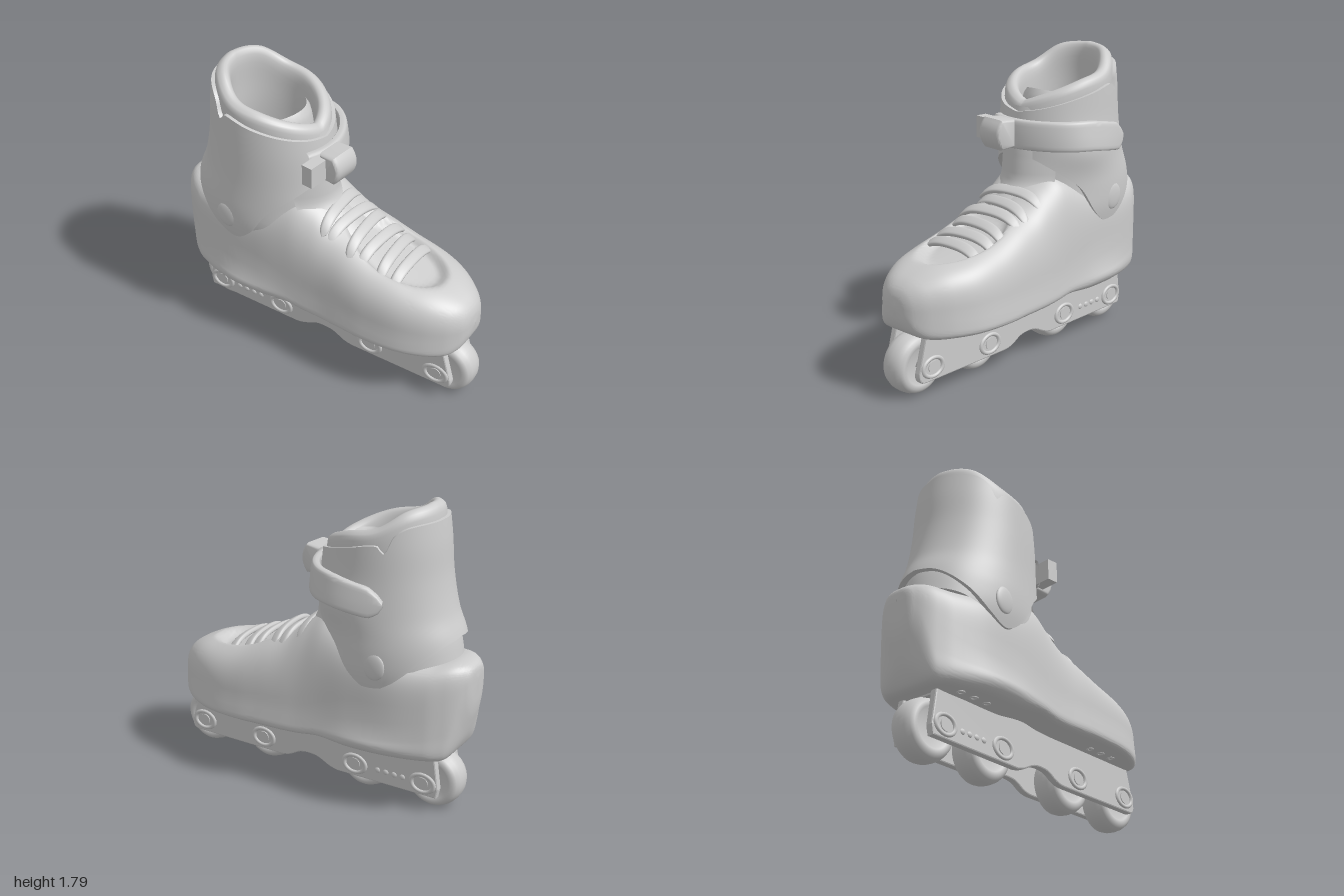
import * as THREE from 'three';
import { toCreasedNormals } from 'three/addons/utils/BufferGeometryUtils.js';

const grey = new THREE.MeshStandardMaterial({ color: 0xcccccc, side: THREE.DoubleSide });
const ZC = 0.03; // centre line of frame and wheels
const ZA = 0.037; // centre line of ankle
const { smoothstep, clamp, lerp } = THREE.MathUtils;

// Smooth lookup in rows [t, a, b, ...]; returns the interpolated columns
function key(rows, t) {
  const n = rows.length - 1;
  let i = 0;
  while (i < n - 1 && t > rows[i + 1][0]) i++;
  const h = rows[i + 1][0] - rows[i][0];
  const s = clamp((t - rows[i][0]) / h, 0, 1);
  const slope = (k, c) => {
    const a = rows[Math.max(k - 1, 0)], b = rows[Math.min(k + 1, n)];
    return (b[c] - a[c]) / (b[0] - a[0]);
  };
  return rows[i].slice(1).map((v, j) => {
    const c = j + 1, s2 = s * s, s3 = s2 * s;
    return (2 * s3 - 3 * s2 + 1) * v + (s3 - 2 * s2 + s) * h * slope(i, c)
      + (3 * s2 - 2 * s3) * rows[i + 1][c] + (s3 - s2) * h * slope(i + 1, c);
  });
}

// Surface from fn(u, v) -> [x, y, z]; u may wrap round into a closed loop
function surface(nu, nv, fn, closed = true) {
  const pos = [], idx = [], cols = closed ? nu : nu + 1;
  for (let j = 0; j <= nv; j++)
    for (let i = 0; i < cols; i++) pos.push(...fn(i / nu, j / nv));
  for (let j = 0; j < nv; j++)
    for (let i = 0; i < nu; i++) {
      const a = j * cols + i, b = j * cols + (i + 1) % cols, c = a + cols, d = b + cols;
      idx.push(a, c, b, b, c, d);
    }
  const g = new THREE.BufferGeometry();
  g.setAttribute('position', new THREE.Float32BufferAttribute(pos, 3));
  g.setIndex(idx);
  g.computeVertexNormals();
  return g;
}

// Shell sections: x, bottom, top, widest height, half width, centre z, roundness
const SHELL = [
  [-1.0, 0.84, 0.86, 0.85, 0.001, 0.03, 0.8], [-0.994, 0.70, 0.91, 0.84, 0.075, 0.03, 0.75],
  [-0.975, 0.59, 0.935, 0.80, 0.12, 0.03, 0.65], [-0.94, 0.47, 0.95, 0.74, 0.165, 0.03, 0.55],
  [-0.89, 0.385, 0.955, 0.70, 0.205, 0.03, 0.5], [-0.8, 0.37, 0.945, 0.64, 0.255, 0.03, 0.45],
  [-0.6, 0.37, 0.96, 0.60, 0.31, 0.03, 0.4], [-0.35, 0.37, 1.03, 0.57, 0.32, 0.025, 0.45],
  [-0.15, 0.39, 1.12, 0.52, 0.315, 0.02, 0.6], [-0.02, 0.375, 1.06, 0.5, 0.315, 0.015, 0.68],
  [0.1, 0.37, 0.97, 0.5, 0.32, 0.01, 0.68], [0.25, 0.37, 0.905, 0.5, 0.33, 0.01, 0.66],
  [0.4, 0.37, 0.845, 0.48, 0.335, 0.01, 0.64], [0.6, 0.37, 0.79, 0.48, 0.32, 0.01, 0.62],
  [0.75, 0.37, 0.755, 0.49, 0.27, 0.015, 0.64], [0.86, 0.375, 0.71, 0.51, 0.2, 0.02, 0.7],
  [0.92, 0.41, 0.665, 0.53, 0.135, 0.02, 0.78], [0.947, 0.47, 0.615, 0.545, 0.075, 0.02, 0.9],
  [0.956, 0.54, 0.55, 0.545, 0.001, 0.02, 1],
];
const spow = (v, e) => Math.sign(v) * Math.abs(v) ** e;

function shellPoint(u, v) {
  const f = v * (SHELL.length - 1), i = Math.min(Math.floor(f), SHELL.length - 2);
  const x = lerp(SHELL[i][0], SHELL[i + 1][0], f - i);
  const [bot, top, mid, hw, zc, round] = key(SHELL, x);
  const a = u * Math.PI * 2, c = Math.cos(a), s = Math.sin(a);
  // square sole edge, softening towards toe and heel tips
  const e = s > 0 ? round : lerp(0.28, 0.9, smoothstep(bot, 0.38, 0.55));
  let y = mid + spow(s, e) * (s > 0 ? top - mid : mid - bot);
  // widened sole, with a raised ridge at the arch
  const ridge = 0.06 * Math.exp(-(((x + 0.45) / 0.22) ** 2) - ((y - 0.45) / 0.05) ** 2);
  const z = zc + hw * (1 + 0.04 * smoothstep(0.55 - y, 0, 0.15) + ridge) * spow(c, e);
  // sunken lacing throat along the instep
  const d = ((x - 0.42) / 0.3) ** 2 + ((z - 0.01) / 0.18) ** 2;
  if (s > 0) y -= 0.06 * smoothstep(1.3 - d, 0, 0.6);
  return [x, y, z];
}

// Ankle rings: y, back x, front x, half width
const ANKLE = [
  [0.75, -0.93, 0.05, 0.312], [0.88, -0.92, 0.03, 0.338], [1.0, -0.9, 0.0, 0.342],
  [1.08, -0.88, -0.005, 0.338], [1.2, -0.83, -0.02, 0.332], [1.4, -0.787, -0.035, 0.328],
  [1.6, -0.768, -0.06, 0.322], [1.8, -0.74, -0.08, 0.31],
];
function ankle(a, y, off = 0) {
  const [bx, fx, rz] = key(ANKLE, y);
  // bulge below the strap on the far side
  const o = off + 0.03 * Math.exp(-(((a + 1.2) / 0.5) ** 2) - ((y - 1.24) / 0.12) ** 2);
  return [(bx + fx) / 2 + ((fx - bx) / 2 + o) * Math.cos(a), y, ZA + (rz + o) * Math.sin(a)];
}

// Edge heights by angle from the front (0) to the back (PI)
const CUFF_BOTTOM = [[0, 1.23], [0.48, 1.19], [1.08, 1.04], [1.4, 0.86], [1.65, 0.78],
  [1.9, 0.83], [2.25, 0.95], [2.7, 1.05], [Math.PI, 1.08]];
const CUFF_TOP = [[0, 1.47], [0.5, 1.5], [1.4, 1.58], [1.85, 1.61], [1.97, 1.57], [2.12, 1.66],
  [2.4, 1.71], [Math.PI, 1.725]];
const LINER_TOP = [[0, 1.53], [0.5, 1.58], [1.2, 1.65], [1.8, 1.69], [2.4, 1.78], [Math.PI, 1.805]];
// Padded liner profile: height below rim, inward offset
const LINER = [[0, 0.85, -0.03], [0.3, 0.3, -0.03], [0.45, 0.05, -0.015], [0.52, 0.01, -0.035],
  [0.57, 0, -0.06], [0.63, 0.02, -0.09], [0.72, 0.12, -0.11], [1, 0.72, -0.13]];
const angle = (u) => (u - 0.5) * Math.PI * 2;

export function createModel() {
  const model = new THREE.Group();
  const add = (geo, name, x = 0, y = 0, z = 0, parent = model) => {
    const m = new THREE.Mesh(geo, grey);
    m.name = name;
    m.position.set(x, y, z);
    parent.add(m);
    return m;
  };

  // Boot
  add(toCreasedNormals(surface(120, 108, shellPoint), 1), 'bootShell');
  add(toCreasedNormals(surface(128, 28, (u, v) => {
    const a = angle(u), lo = key(CUFF_BOTTOM, Math.abs(a))[0], hi = key(CUFF_TOP, Math.abs(a))[0];
    const t = clamp((v - 0.08) / 0.84, 0, 1);
    return ankle(a, lo + (hi - lo) * t, v < 0.04 || v > 0.96 ? -0.035 : 0.005);
  }), 0.8), 'ankleCuff');
  add(surface(96, 40, (u, v) => {
    const a = angle(u), [drop, off] = key(LINER, v);
    return ankle(a, key(LINER_TOP, Math.abs(a))[0] - drop, off);
  }), 'liner');
  add(surface(48, 6, (u, v) => {
    const [x, , z] = ankle(angle(u), 1.1, -0.08);
    return [-0.44 + (x + 0.44) * v, 1.07, ZA + (z - ZA) * v];
  }), 'insole');

  // Tongue: padded top inside the liner, and the curved part at the ankle bend
  add(surface(32, 16, (u, v) => {
    const a = u * Math.PI * 2, s = Math.sin(a), top = Math.sqrt(Math.max(0, 1 - v ** 6));
    return [-0.17 - 0.04 * v - 0.1 * s * s + 0.035 * top * Math.cos(a), 1.08 + 0.5 * v - 0.03 * s * s * v,
      ZA + (0.17 + 0.03 * top) * s];
  }), 'tongueTop');
  add(surface(24, 16, (u, v) => {
    const s = u * 2 - 1, [x, y] = key([[0, -0.06, 1.5], [0.3, -0.01, 1.3], [0.55, 0.005, 1.16],
      [0.75, 0.03, 1.04], [1, 0.2, 0.9]], v);
    return [x - 0.14 * s * s, y, ZC + 0.21 * s];
  }, false), 'tongueFront');

  // Flat laces across the throat, ends tucked into the shell
  [[0.04, 1.02, 0.02], [0.12, 0.965, -0.025], [0.22, 0.935, 0.015], [0.32, 0.885, -0.015],
    [0.42, 0.845, 0.015], [0.52, 0.81, 0]].forEach(([x, y, skew]) => {
    add(surface(16, 24, (u, v) => {
      const a = u * Math.PI * 2, s = v * 2 - 1, end = Math.sqrt(1.0001 - s ** 8);
      const w = 0.034 * end * spow(Math.cos(a), 0.6), t = 0.016 * end * spow(Math.sin(a), 0.6);
      return [x + skew * s + w * 0.87 + t * 0.5, y - 0.03 * s * s - 0.06 * s ** 4 - w * 0.5 + t * 0.87,
        0.015 + 0.235 * s];
    }), 'lace');
  });

  // Round pivots low on the cuff
  for (const s of [-1, 1]) {
    const p = add(new THREE.SphereGeometry(0.07, 24, 12), 'cuffPivot', -0.52, 0.93, ZA + s * 0.335);
    p.scale.set(1, 1.15, 0.25);
  }

  // Strap from the far side round to the buckle
  add(toCreasedNormals(surface(20, 40, (u, v) => {
    const a = lerp(-1.95, 0.5, v), c = u * Math.PI * 2;
    const taper = Math.min(1, Math.sqrt(v * 12 + 0.02));
    const y = 1.35 - 0.05 * smoothstep(-a, 1.1, 2) + 0.085 * taper * spow(Math.sin(c), 0.4);
    const lift = 0.025 + 0.03 * Math.exp(-(((a + 1.1) / 0.6) ** 2));
    return ankle(a, y, lift + 0.025 * spow(Math.cos(c), 0.4));
  }), 0.8), 'strap');
  const buckle = new THREE.Group();
  buckle.name = 'buckle';
  buckle.position.set(0.06, 1.355, 0.09);
  buckle.rotation.y = -0.12;
  model.add(buckle);
  const lever = new THREE.Shape();
  lever.moveTo(-0.04, -0.065).lineTo(0.035, -0.07).quadraticCurveTo(0.09, 0, 0.035, 0.07).lineTo(-0.04, 0.065);
  const leverGeo = new THREE.ExtrudeGeometry(lever, {
    depth: 0.12, bevelEnabled: true, bevelSize: 0.018, bevelThickness: 0.03, bevelSegments: 5, curveSegments: 16 });
  add(toCreasedNormals(leverGeo, 0.8), 'buckleLever', 0, 0, -0.06, buckle);
  add(new THREE.BoxGeometry(0.07, 0.13, 0.24), 'buckleBase', -0.04, 0, 0.09, buckle);

  // Frame side plates with an arch in the middle
  const plate = new THREE.Shape();
  plate.moveTo(-0.83, 0.12).lineTo(-0.18, 0.115).bezierCurveTo(-0.08, 0.13, -0.08, 0.175, 0.02, 0.175)
    .bezierCurveTo(0.14, 0.175, 0.12, 0.115, 0.24, 0.115).lineTo(0.86, 0.115)
    .quadraticCurveTo(0.9, 0.12, 0.89, 0.17).lineTo(0.83, 0.39).lineTo(-0.2, 0.4)
    .lineTo(-0.81, 0.385).lineTo(-0.84, 0.17);
  const plateGeo = new THREE.ExtrudeGeometry(plate, {
    depth: 0.025, bevelEnabled: true, bevelSize: 0.008, bevelThickness: 0.01, bevelSegments: 2 });
  for (const s of [-1, 1]) add(plateGeo, 'framePlate', 0, 0, ZC + s * 0.12 - 0.0125);
  for (const [x, w] of [[-0.5, 0.6], [0.55, 0.55]])
    add(new THREE.BoxGeometry(w, 0.03, 0.23), 'frameBridge', x, 0.375, ZC);

  // Wheels, axles and bolt surrounds
  const tread = [[0.035, -0.06], [0.1, -0.065], [0.115, -0.08], [0.14, -0.08], [0.16, -0.066],
    [0.172, -0.035], [0.175, 0], [0.172, 0.035], [0.16, 0.066], [0.14, 0.08], [0.115, 0.08],
    [0.1, 0.065], [0.035, 0.06]].map(([r, y]) => new THREE.Vector2(r, y));
  const wheelGeo = new THREE.LatheGeometry(tread, 48).rotateX(Math.PI / 2);
  const axleGeo = new THREE.CylinderGeometry(0.036, 0.036, 0.295, 20).rotateX(Math.PI / 2);
  const ringGeo = new THREE.TorusGeometry(0.058, 0.012, 8, 28).scale(1.25, 0.95, 1);
  for (const x of [-0.77, -0.32, 0.37, 0.82]) {
    add(wheelGeo, 'wheel', x, 0.185, ZC);
    const bx = x + (x < 0 ? 0.02 : -0.02);
    add(axleGeo, 'axle', bx, 0.19, ZC);
    for (const s of [-1, 1]) add(ringGeo, 'boltSurround', bx, 0.19, ZC + s * 0.142);
  }

  // Raised ribs between the rear bolts, and vent rims under the sole
  const ventGeo = new THREE.TorusGeometry(0.018, 0.006, 6, 16).rotateX(Math.PI / 2);
  for (const s of [-1, 1]) {
    for (let i = 0; i < 4; i++) {
      const r = add(new THREE.SphereGeometry(0.02, 10, 8), 'frameRib', -0.62 + i * 0.055, 0.19, ZC + s * 0.14);
      r.scale.set(1, 0.9, 0.5);
    }
    for (const x of [-0.7, -0.6, -0.5, 0.4, 0.5, 0.6]) add(ventGeo, 'soleVent', x, 0.371, ZC + s * 0.2);
  }
  return model;
}
